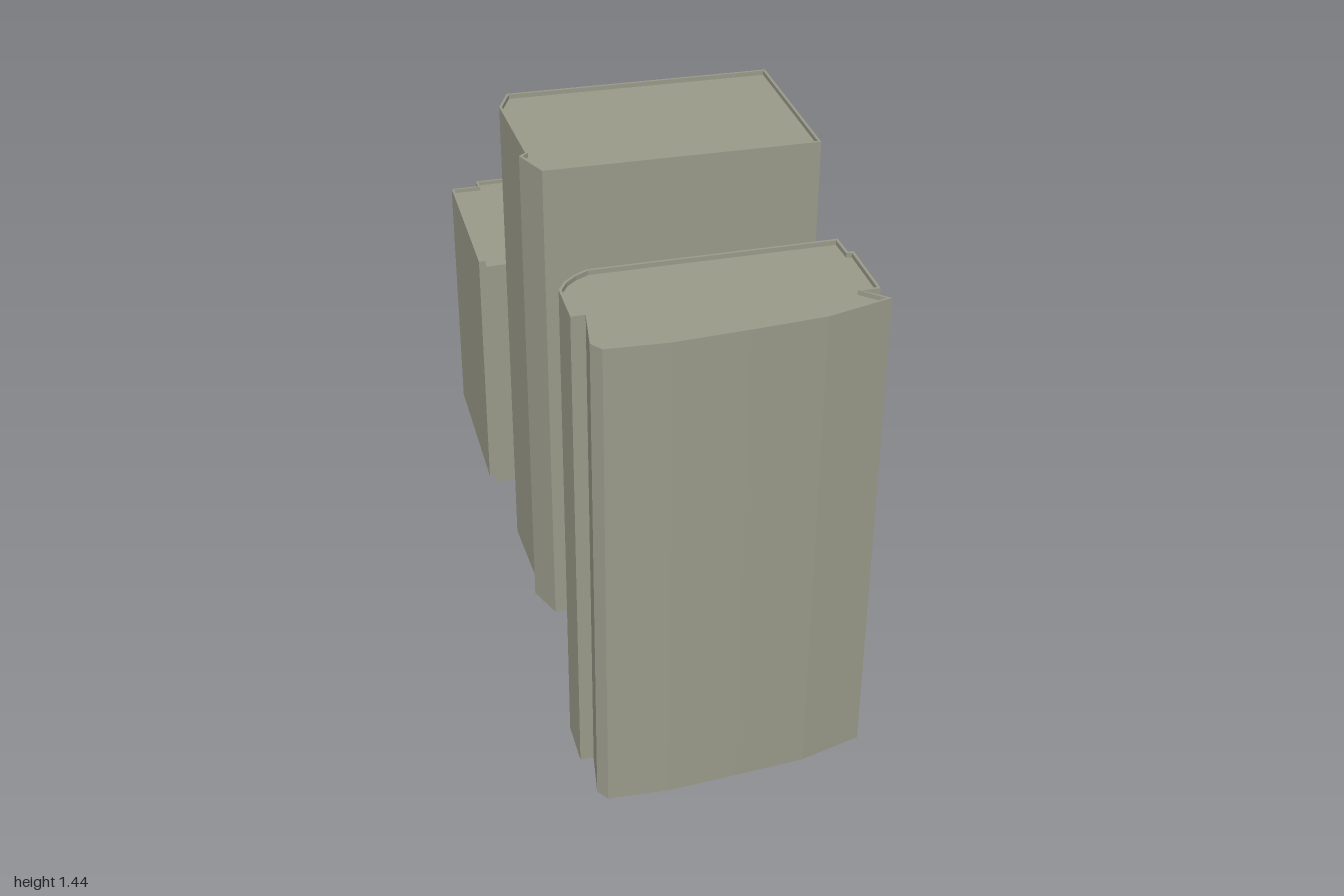
import * as THREE from 'three';

const RIM = 0.007, DROP = 0.012; // parapet width and depth of the sunken roof

// Footprints as [x, z], clockwise seen from above
const BLOCKS = [
  { name: 'frontTower', y0: 0, y1: 1.335, plan: [
    [-0.285, 0.635], [0.33, 0.628], [0.333, 0.695], [0.347, 0.695], [0.35, 0.877], [0.305, 0.877],
    [0.36, 0.925], [0.195, 0.97], [0.01, 0.985], [-0.17, 0.997], [-0.325, 0.99], [-0.347, 0.96],
    [-0.33, 0.838], [-0.365, 0.838], [-0.367, 0.715], [-0.347, 0.68], [-0.32, 0.655]] },
  { name: 'middleTower', y0: 0.06, y1: 1.437, plan: [
    [-0.33, -0.163], [0.38, -0.16], [0.387, 0.31], [-0.325, 0.31],
    [-0.365, 0.215], [-0.347, 0.2], [-0.363, -0.085]] },
  { name: 'backBlock', y0: 0, y1: 0.775, plan: [
    [-0.393, -0.955], [-0.31, -0.955], [-0.31, -0.99], [0.38, -1],
    [0.39, -0.45], [-0.37, -0.43], [-0.365, -0.465], [-0.385, -0.465]] },
];

// Moves every side of a footprint inward by d
function inset(plan, d) {
  const n = plan.length;
  const inward = (a, b) => new THREE.Vector2(a[1] - b[1], b[0] - a[0]).normalize();
  return plan.map((p, i) => {
    const u = inward(plan[(i + n - 1) % n], p), v = inward(p, plan[(i + 1) % n]);
    const k = d / Math.max(0.5, 1 + u.dot(v));
    return [p[0] + (u.x + v.x) * k, p[1] + (u.y + v.y) * k];
  });
}

// Joins successive loops { plan, y } with bands of quads
function skin(loops) {
  const pos = [];
  for (let k = 0; k < loops.length - 1; k++) {
    const lo = loops[k], hi = loops[k + 1], n = lo.plan.length;
    const at = (loop, i) => [loop.plan[i % n][0], loop.y, loop.plan[i % n][1]];
    for (let i = 0; i < n; i++) {
      const a = at(lo, i), b = at(hi, i), c = at(hi, i + 1), d = at(lo, i + 1);
      pos.push(...a, ...b, ...c, ...a, ...c, ...d);
    }
  }
  const geometry = new THREE.BufferGeometry();
  geometry.setAttribute('position', new THREE.Float32BufferAttribute(pos, 3));
  geometry.computeVertexNormals();
  return geometry;
}

export function createModel() {
  const model = new THREE.Group();
  model.name = 'buildings';
  const material = new THREE.MeshStandardMaterial({
    color: 0x9a9a8a, flatShading: true, side: THREE.DoubleSide });

  for (const { name, y0, y1, plan } of BLOCKS) {
    const block = new THREE.Group();
    block.name = name;
    const inner = inset(plan, RIM);

    // Outer walls, open below, with a low parapet
    const walls = new THREE.Mesh(skin([
      { plan, y: y0 }, { plan, y: y1 }, { plan: inner, y: y1 }, { plan: inner, y: y1 - DROP },
    ]), material);
    walls.name = 'walls';

    // Flat roof just below the parapet
    const shape = new THREE.Shape(inner.map(([x, z]) => new THREE.Vector2(x, -z)));
    const roof = new THREE.Mesh(new THREE.ShapeGeometry(shape).rotateX(-Math.PI / 2), material);
    roof.position.y = y1 - DROP;
    roof.name = 'roof';

    block.add(walls, roof);
    model.add(block);
  }
  return model;
}
